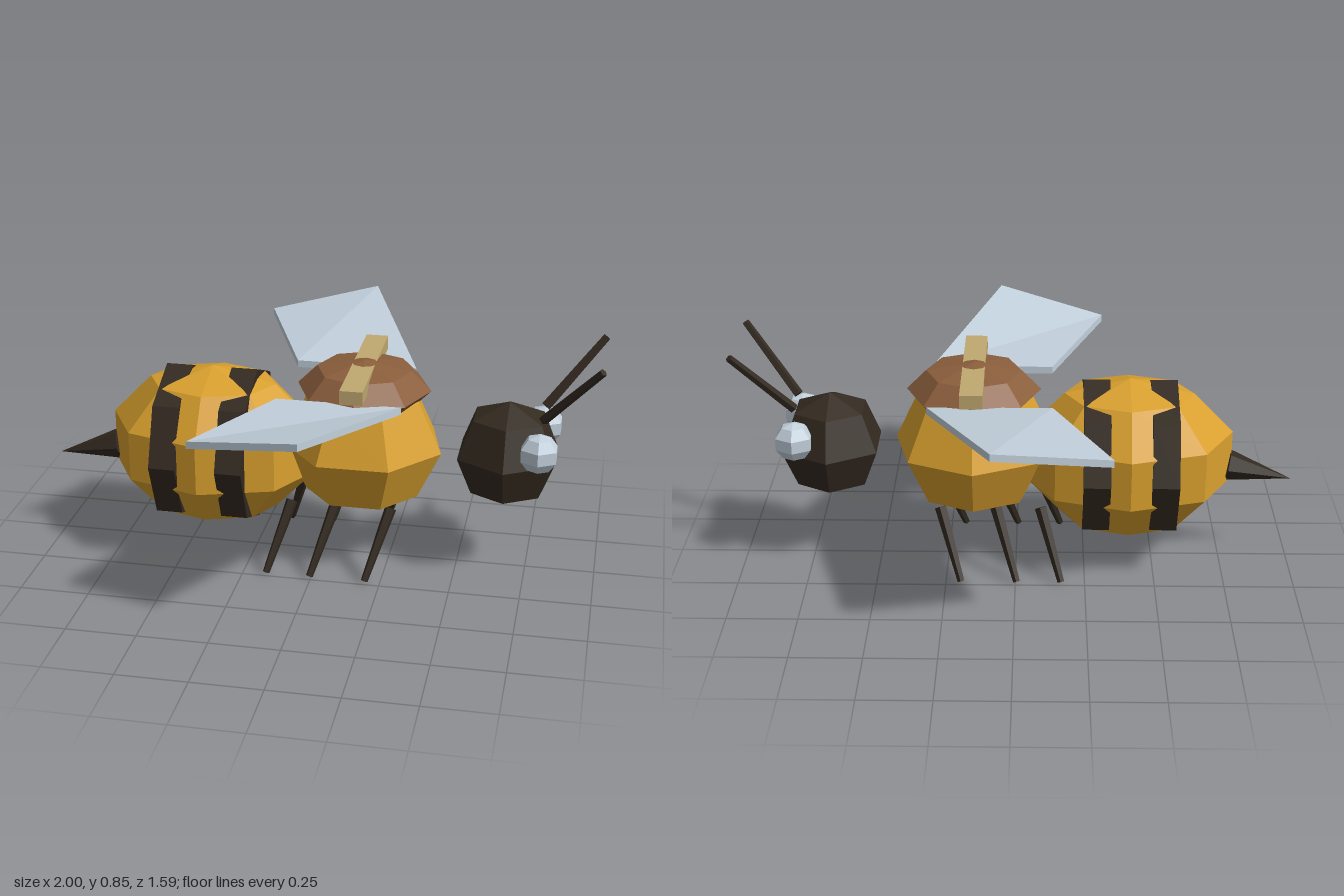
import * as THREE from 'three';

export function createModel() {
  const model = new THREE.Group();
  model.name = 'bee';

  const mat = (name, color) => {
    const m = new THREE.MeshStandardMaterial({ color, flatShading: true });
    m.name = name;
    return m;
  };
  const yellow = mat('honey yellow', 0xd9a02e);
  const black = mat('dark brown black', 0x332a20);
  const brown = mat('saddle brown', 0x8b5e3c);
  const tan = mat('strap tan', 0xc0a870);
  const pale = mat('pale blue grey', 0xc2d0dc);

  const add = (name, geometry, material, x = 0, y = 0, z = 0) => {
    const mesh = new THREE.Mesh(geometry, material);
    mesh.name = name;
    mesh.position.set(x, y, z);
    model.add(mesh);
    return mesh;
  };

  // Low-poly ellipsoid, turned so a corner of each ring points to -z
  const ball = (rx, ry, rz, around, rows) =>
    new THREE.SphereGeometry(1, around, rows).rotateY(-Math.PI / 2).scale(rx, ry, rz);

  // Tapered rod from point a (radius ra) to point b (radius rb)
  const rod = (name, a, b, ra, rb, sides) => {
    const from = new THREE.Vector3(...a), to = new THREE.Vector3(...b);
    const dir = to.clone().sub(from);
    const mesh = add(name, new THREE.CylinderGeometry(rb, ra, dir.length(), sides), black);
    mesh.position.copy(from).add(to).multiplyScalar(0.5);
    mesh.quaternion.setFromUnitVectors(new THREE.Vector3(0, 1, 0), dir.normalize());
    return mesh;
  };

  // Body
  add('abdomen', ball(0.395, 0.297, 0.295, 8, 5), yellow, -0.405, 0.408, 0);
  add('thorax', ball(0.295, 0.255, 0.28, 7, 4), yellow, 0.15, 0.45, 0);
  add('head', ball(0.196, 0.195, 0.196, 6, 4), black, 0.668, 0.45, 0);

  // Abdomen stripes
  for (const x of [-0.527, -0.287]) {
    add('stripe', new THREE.CylinderGeometry(0.29, 0.29, 0.095, 8).rotateZ(Math.PI / 2), black, x, 0.41, 0);
  }

  rod('stinger', [-0.765, 0.37, 0], [-1, 0.315, 0], 0.058, 0, 6);

  // Saddle and strap
  add('saddle', ball(0.24, 0.1, 0.24, 8, 4), brown, 0.15, 0.663, 0);
  add('strap', new THREE.BoxGeometry(0.08, 0.05, 0.57), tan, 0.15, 0.73, 0);

  // Wing corners on the left side: [rear, front] for the inner and outer edge
  const inner = [new THREE.Vector3(-0.13, 0.658, 0.19), new THREE.Vector3(0.31, 0.658, 0.19)];
  const outer = [new THREE.Vector3(-0.325, 0.685, 0.67), new THREE.Vector3(0.07, 0.762, 0.795)];

  // Thin box whose corners are moved onto the wing outline
  const wing = (side) => {
    const g = new THREE.BoxGeometry(1, 1, 1);
    const p = g.attributes.position;
    for (let i = 0; i < p.count; i++) {
      const edge = p.getZ(i) * side > 0 ? outer : inner;
      const c = edge[p.getX(i) > 0 ? 1 : 0];
      p.setXYZ(i, c.x, c.y + p.getY(i) * 0.026, c.z * side);
    }
    g.computeVertexNormals();
    return g;
  };

  // Paired parts
  for (const side of [1, -1]) {
    const label = side > 0 ? 'left' : 'right';
    add(label + 'Wing', wing(side), pale);
    add(label + 'Eye', ball(0.074, 0.071, 0.07, 6, 5), pale, 0.785, 0.512, 0.132 * side);
    rod(label + 'Antenna', [0.79, 0.61, 0.065 * side], [0.985, 0.845, 0.178 * side], 0.018, 0.014, 5);
    for (const x of [-0.09, 0.07, 0.27]) {
      rod(label + 'Leg', [x, 0.252, 0.125 * side], [x - 0.075, 0.008, 0.235 * side], 0.022, 0.013, 5);
    }
  }

  return model;
}
